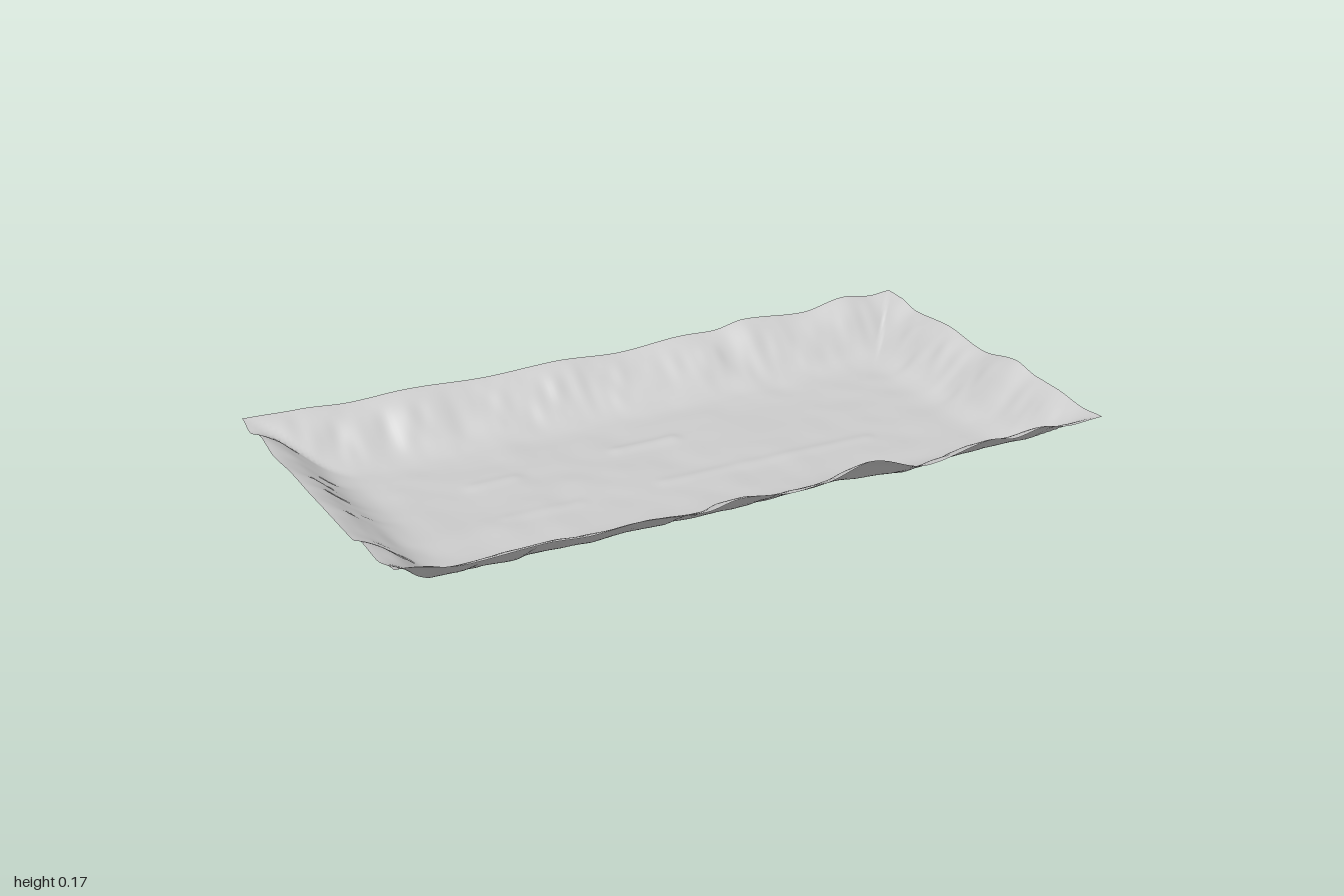
import * as THREE from 'three';

const HALF_X = 1, HALF_Z = 0.505;

// Smooth lookup through a short list of [position, value] points
function profile(points) {
  return (t) => {
    if (t <= points[0][0]) return points[0][1];
    for (let i = 1; i < points.length; i++) {
      const [a, va] = points[i - 1], [b, vb] = points[i];
      if (t <= b) return THREE.MathUtils.lerp(va, vb, THREE.MathUtils.smoothstep(t, a, b));
    }
    return points[points.length - 1][1];
  };
}

// Wavy rim heights along each of the four edges
const frontRim = profile([[-1, 0.175], [-0.82, 0.145], [-0.62, 0.15], [-0.5, 0.141], [-0.38, 0.146], [-0.19, 0.13],
  [-0.1, 0.144], [0.06, 0.126], [0.14, 0.13], [0.28, 0.16], [0.45, 0.112], [0.65, 0.14], [0.72, 0.128], [0.81, 0.14], [0.9, 0.126], [1, 0.13]]);
const backRim = profile([[-1, 0.16], [-0.85, 0.155], [-0.7, 0.145], [-0.55, 0.15], [-0.3, 0.138], [-0.1, 0.143], [0.1, 0.13],
  [0.3, 0.142], [0.4, 0.138], [0.5, 0.154], [0.7, 0.138], [0.84, 0.16], [0.94, 0.147], [1, 0.152]]);
const rightRim = profile([[-0.5, 0.152], [-0.44, 0.15], [-0.36, 0.135], [-0.2, 0.145], [-0.03, 0.128], [0.13, 0.154],
  [0.22, 0.14], [0.3, 0.138], [0.43, 0.125], [0.5, 0.13]]);
const leftRim = profile([[-0.5, 0.16], [-0.45, 0.142], [-0.37, 0.164], [-0.27, 0.145], [-0.15, 0.15], [0, 0.145],
  [0.25, 0.141], [0.31, 0.16], [0.4, 0.154], [0.5, 0.175]]);

// Wall height as a fraction of the rim, by distance from the edge
const WALL = new THREE.SplineCurve([[0, 1], [0.05, 0.8], [0.1, 0.47], [0.15, 0.18], [0.2, 0.04], [0.25, 0]]
  .map(([x, y]) => new THREE.Vector2(x, y)));
const wall = (d) => (d >= 0.25 ? 0 : WALL.getPoint(d / 0.25).y);

// Soft seeded noise in the range -1 to 1
const hash = (i, j) => {
  const s = Math.sin(i * 127.1 + j * 311.7 + 5.3) * 43758.5453;
  return (s - Math.floor(s)) * 2 - 1;
};
function noise(x, y) {
  const i = Math.floor(x), j = Math.floor(y);
  const u = THREE.MathUtils.smoothstep(x - i, 0, 1), v = THREE.MathUtils.smoothstep(y - j, 0, 1);
  const { lerp } = THREE.MathUtils;
  return lerp(lerp(hash(i, j), hash(i + 1, j), u), lerp(hash(i, j + 1), hash(i + 1, j + 1), u), v);
}

// Faint straight ridges pressed into the floor: x from, x to, z, height
const RIDGES = [[-0.1, 0.55, 0.1, 0.004], [-0.12, 0.08, -0.13, 0.006], [-0.55, -0.32, 0.11, 0.003], [-0.55, -0.4, -0.1, 0.004]];

function height(x, z) {
  const dl = x + HALF_X, dr = HALF_X - x, df = HALF_Z - z, db = z + HALF_Z;
  const side = Math.min(dl, dr * 1.15), end = Math.min(df, db);
  const d = Math.max(0, Math.min(side, end));

  // Rim height blended from the nearest edges
  let sum = 0, weight = 0;
  for (const [dist, rim] of [[dl, leftRim(z)], [dr, rightRim(z)], [df, frontRim(x)], [db, backRim(x)]]) {
    const w = 1 / (dist * dist + 1e-6);
    sum += rim * w;
    weight += w;
  }

  // Gently tilted, slightly uneven floor
  let floor = 0.02 - 0.01 * x + 0.004 * noise(x * 5, z * 7) + 0.002 * noise(x * 14, z * 14);
  for (const [x0, x1, rz, h] of RIDGES) {
    const along = THREE.MathUtils.smoothstep(x, x0 - 0.02, x0 + 0.02) * (1 - THREE.MathUtils.smoothstep(x, x1 - 0.02, x1 + 0.02));
    floor += h * along * Math.exp(-(((z - rz) / 0.02) ** 2));
  }

  // Wrinkles that run down the walls
  const w = wall(d);
  const along = side < end ? z : x;
  const fade = Math.min(1, Math.abs(side - end) / 0.08);
  const wrinkle = 4 * w * (1 - w) * fade * (0.007 * noise(along * 14, d * 9 + 20) + 0.004 * noise(along * 30, d * 14 + 50));
  return floor + (sum / weight - floor) * w + wrinkle;
}

export function createModel() {
  const group = new THREE.Group();
  group.name = 'tray';
  const grey = new THREE.MeshStandardMaterial({ color: 0xcccccc, side: THREE.DoubleSide });
  grey.name = 'lightGrey';

  // One crumpled sheet with raised, mitred walls
  const geometry = new THREE.PlaneGeometry(HALF_X * 2, HALF_Z * 2, 180, 92);
  geometry.rotateX(-Math.PI / 2);
  const p = geometry.attributes.position;
  for (let i = 0; i < p.count; i++) p.setY(i, height(p.getX(i), p.getZ(i)));
  geometry.computeVertexNormals();
  geometry.computeBoundingBox();
  geometry.translate(0, -geometry.boundingBox.min.y, 0);

  const sheet = new THREE.Mesh(geometry, grey);
  sheet.name = 'traySheet';
  group.add(sheet);
  return group;
}
